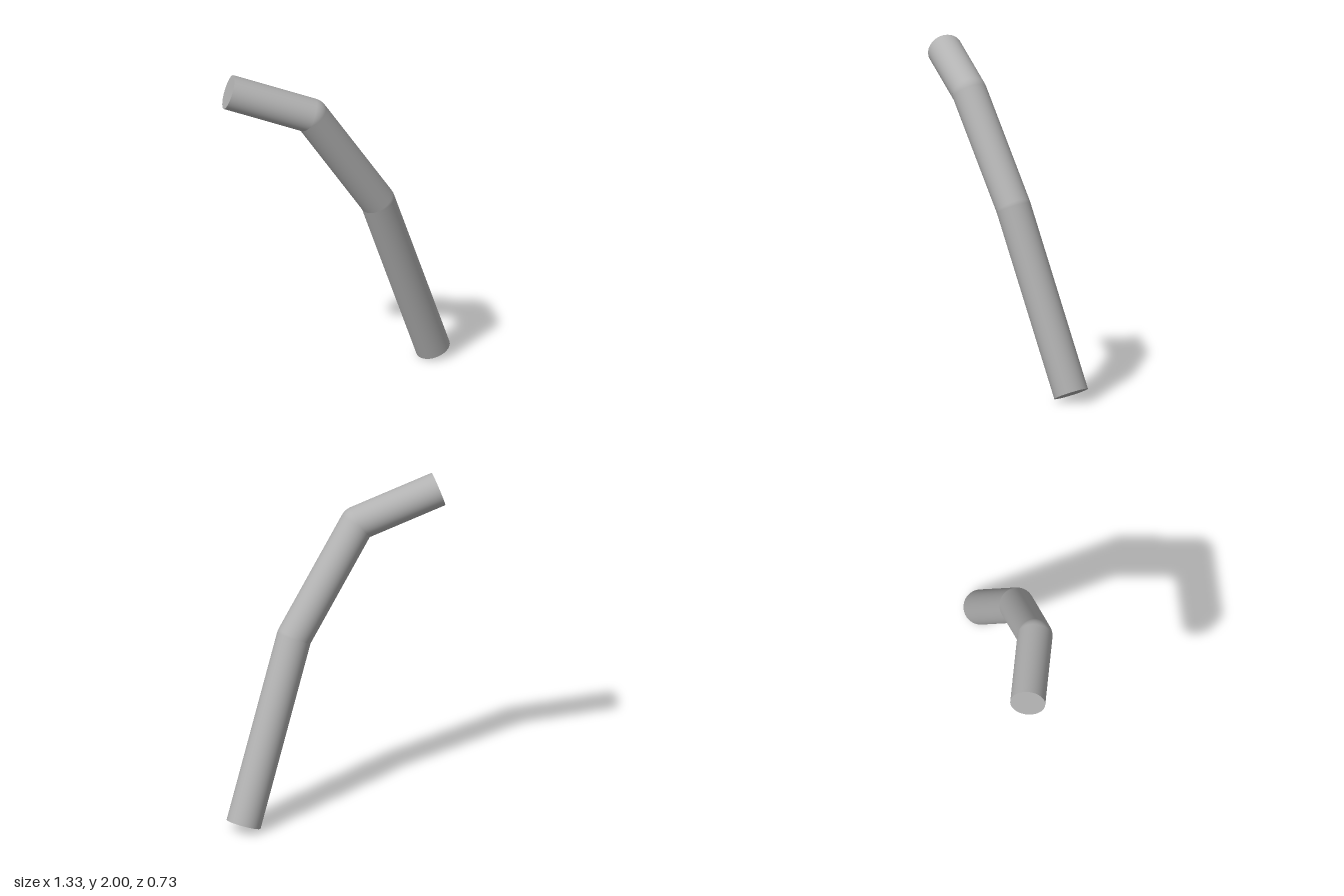
import * as THREE from 'three';

export function createModel() {
  const model = new THREE.Group();
  model.name = 'bentPipe';
  const grey = new THREE.MeshStandardMaterial({ color: 0xb2b2b2 });
  grey.name = 'grey';

  const radius = 0.103;
  const sides = 64;
  const up = new THREE.Vector3(0, 1, 0);

  // Centreline from the foot to the tip
  const path = [
    [0.567, 0.038, -0.266],
    [0.243, 1.1, 0.016],
    [-0.147, 1.728, 0.205],
    [-0.63, 1.903, 0.261],
  ].map((p) => new THREE.Vector3(...p));
  const names = ['lowerSection', 'middleSection', 'upperSection'];

  // Straight capped sections
  names.forEach((name, i) => {
    const dir = path[i + 1].clone().sub(path[i]);
    const section = new THREE.Mesh(new THREE.CylinderGeometry(radius, radius, dir.length(), sides), grey);
    section.name = name;
    section.position.copy(path[i]).addScaledVector(dir, 0.5);
    section.quaternion.setFromUnitVectors(up, dir.normalize());
    model.add(section);
  });

  // Round joints at the bends
  ['lowerJoint', 'upperJoint'].forEach((name, i) => {
    const joint = new THREE.Mesh(new THREE.SphereGeometry(radius, sides, 32), grey);
    joint.name = name;
    joint.position.copy(path[i + 1]);
    // Poles follow the section so the ball's rim lines up with the pipe
    joint.quaternion.copy(model.children[i].quaternion);
    model.add(joint);
  });

  return model;
}
